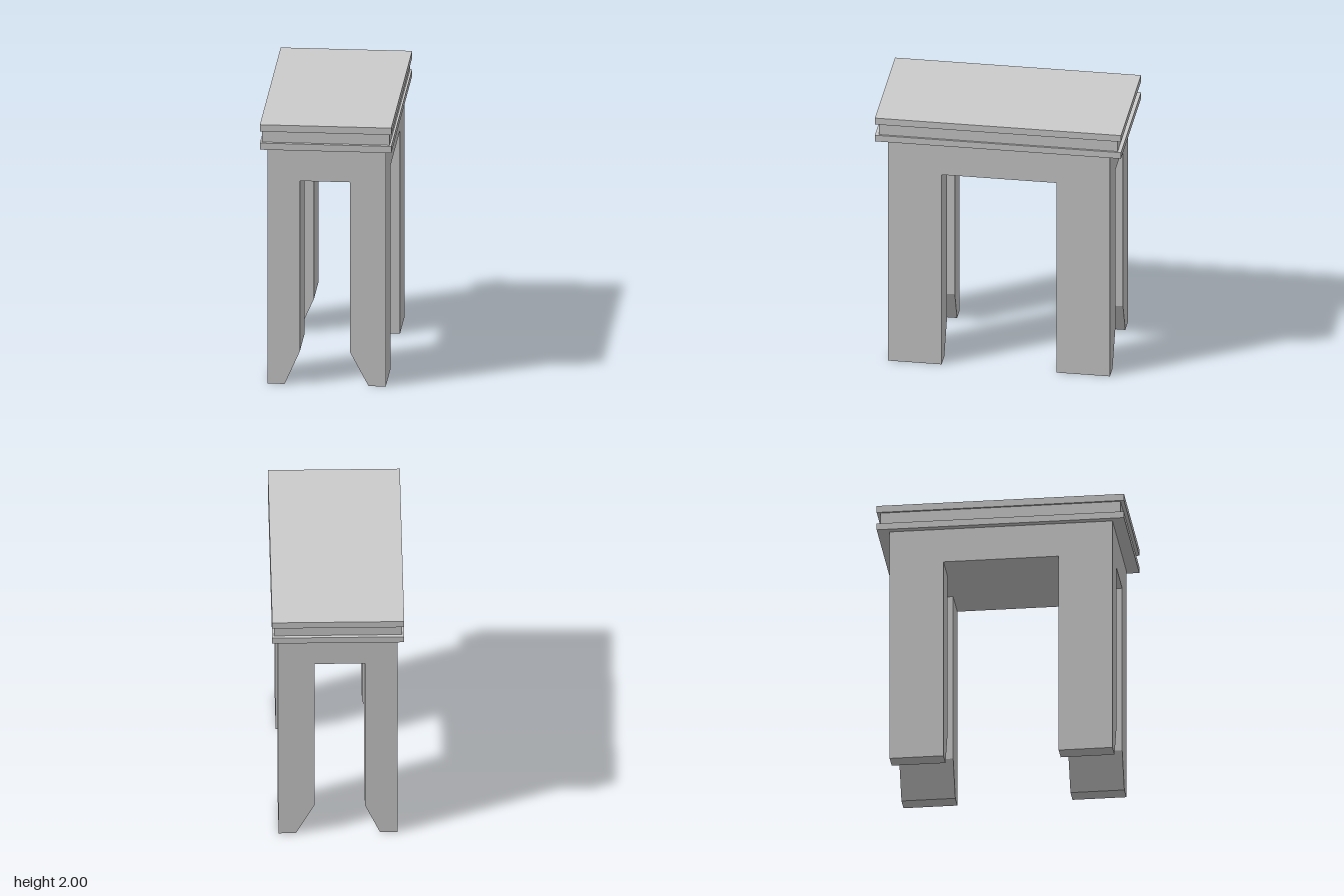
import * as THREE from 'three';

export function createModel() {
  const model = new THREE.Group();
  const material = new THREE.MeshStandardMaterial({ color: 0xcccccc, flatShading: true });

  function add(name, geometry, x, y, z) {
    const mesh = new THREE.Mesh(geometry, material);
    mesh.name = name;
    mesh.position.set(x, y, z);
    model.add(mesh);
  }

  // Box between two heights, centred on the plan
  function slab(name, width, depth, y0, y1) {
    add(name, new THREE.BoxGeometry(width, y1 - y0, depth), 0, (y0 + y1) / 2, 0);
  }

  // Front and back portals: two legs with chamfered feet under a lintel
  const portal = new THREE.Shape([
    [-0.43, 0], [-0.305, 0], [-0.195, 0.25], [-0.195, 1.55],
    [0.17, 1.55], [0.17, 0.255], [0.305, 0], [0.43, 0],
    [0.43, 1.81], [-0.43, 1.81],
  ].map(([x, y]) => new THREE.Vector2(x, y)));
  const legDepth = 0.393;
  const portalGeometry = new THREE.ExtrudeGeometry(portal, { depth: legDepth, bevelEnabled: false });
  add('frontPortal', portalGeometry, 0, 0, 0.42);
  add('backPortal', portalGeometry, 0, 0, -0.42 - legDepth);

  // Solid beam joining the portals
  slab('connectingBeam', 0.86, 0.84, 1.55, 1.81);

  // Stepped cornice
  slab('lowerCornice', 0.956, 1.804, 1.81, 1.86);
  slab('corniceNeck', 0.926, 1.75, 1.86, 1.948);
  slab('upperCornice', 0.956, 1.804, 1.948, 2);

  return model;
}
